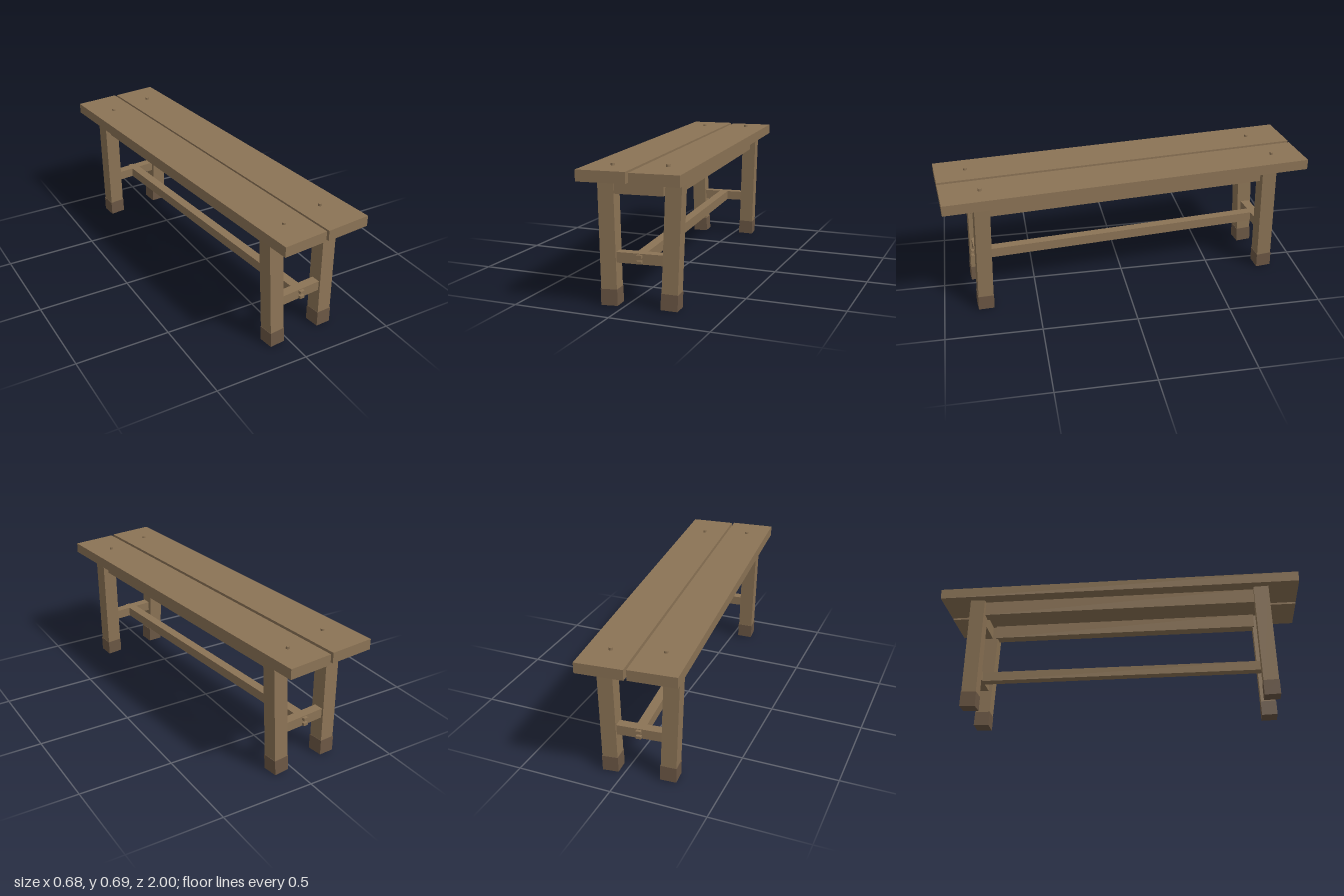
import * as THREE from 'three';

const wood = new THREE.MeshStandardMaterial({ color: 0x8b7355, flatShading: true });
const darkWood = new THREE.MeshStandardMaterial({ color: 0x6b5744, flatShading: true });

// Box given by its centre and size
function box(name, parent, [x, y, z], [w, h, d], material = wood) {
  const mesh = new THREE.Mesh(new THREE.BoxGeometry(w, h, d), material);
  mesh.name = name;
  mesh.position.set(x, y, z);
  parent.add(mesh);
  return mesh;
}

// Square leg leaning from foot to top, with a darker sleeve at the foot
function leg(parent, sx, sz) {
  const foot = new THREE.Vector3(sx * 0.149, 0.002, sz * 0.8);
  const top = new THREE.Vector3(sx * 0.169, 0.624, sz * 0.78);
  const axis = top.clone().sub(foot);
  const length = axis.length();
  const group = new THREE.Group();
  group.name = 'leg';
  group.position.copy(foot);
  group.quaternion.setFromUnitVectors(new THREE.Vector3(0, 1, 0), axis.normalize());
  box('legPost', group, [0, length / 2 + 0.01, 0], [0.08, length - 0.02, 0.08]);
  box('footSleeve', group, [0, 0.04, 0], [0.084, 0.08, 0.084], darkWood);
  parent.add(group);
}

export function createModel() {
  const model = new THREE.Group();
  model.name = 'bench';
  const bench = new THREE.Group();
  bench.name = 'benchFrame';
  bench.rotation.y = 0.0946; // the bench stands slightly turned
  model.add(bench);

  for (const sx of [-1, 1]) {
    // Seat planks, one a touch higher than the other
    box('seatPlank', bench, [sx * 0.128, sx < 0 ? 0.6525 : 0.6495, 0], [0.241, 0.055, 1.962]);
    // Long rails under the seat
    box('sideRail', bench, [sx * 0.146, 0.586, 0], [0.06, 0.078, 1.5]);

    for (const sz of [-1, 1]) {
      leg(bench, sx, sz);
      // Dowel through the plank
      const dowel = new THREE.Mesh(new THREE.CylinderGeometry(0.01, 0.01, 0.05, 12), wood);
      dowel.name = 'dowel';
      dowel.position.set(sx * 0.128, 0.665, sz * (sx * sz > 0 ? 0.777 : 0.819));
      // keeps opposite corners matched across the turned frame
      if (sx === sz) dowel.position.z = sz * 0.777;
      bench.add(dowel);
    }
  }

  for (const sz of [-1, 1]) {
    // End rail and low stretcher joining each pair of legs
    box('endRail', bench, [0, 0.586, sz * 0.8], [0.244, 0.078, 0.06]);
    box('endStretcher', bench, [0, 0.239, sz * 0.797], [0.25, 0.052, 0.05]);
    // Twin tenons of the long stretcher
    for (const y of [0.225, 0.253]) {
      box('tenon', bench, [0, y, sz * 0.82], [0.026, 0.015, 0.036]);
    }
  }

  // Long stretcher between the ends
  box('longStretcher', bench, [0, 0.239, 0], [0.05, 0.052, 1.546]);

  return model;
}
